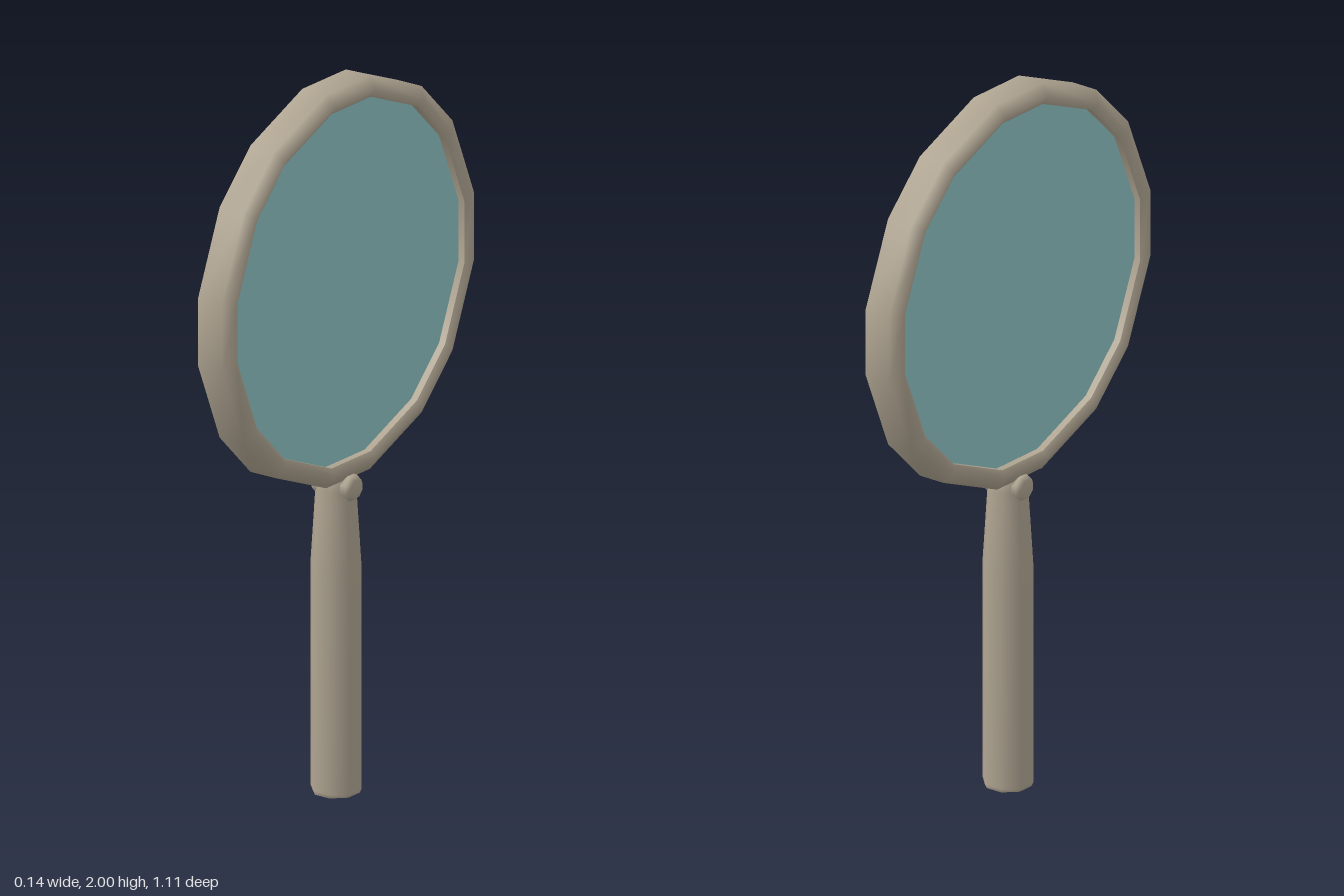
import * as THREE from 'three';

const V = (r, y) => new THREE.Vector2(r, y);
const OFFSET = -0.004;   // the lens and handle sit a hair off centre
const HUB = 1.446;       // height of the lens centre

// Gives the 16-sided lens outline its slightly uneven sides, then turns its axis to x
function shapeRound(geo) {
  const p = geo.attributes.position;
  for (let i = 0; i < p.count; i++) {
    const r = Math.hypot(p.getX(i), p.getZ(i));
    if (r < 1e-4) continue;
    const a = Math.atan2(p.getX(i), p.getZ(i));
    const b = a - THREE.MathUtils.degToRad(1.45) * Math.sin(8 * a);
    p.setX(i, r * Math.sin(b));
    p.setZ(i, r * Math.cos(b));
  }
  return geo.rotateZ(Math.PI / 2);
}

export function createModel() {
  const model = new THREE.Group();
  model.name = 'magnifyingGlass';

  const metal = new THREE.MeshStandardMaterial({ color: 0xb0a592 });
  metal.name = 'warmGreyMetal';
  const glass = new THREE.MeshStandardMaterial({ color: 0x8fc4c6 });
  glass.name = 'paleTealGlass';

  const add = (name, geo, mat, x, y, parent = model) => {
    const mesh = new THREE.Mesh(geo, mat);
    mesh.name = name;
    mesh.position.set(x, y, 0);
    parent.add(mesh);
    return mesh;
  };

  // Lens frame: bevelled outer shell and a straight inner wall
  const start = Math.PI / 16;
  const frame = new THREE.Group();
  frame.name = 'lensFrame';
  model.add(frame);
  const shell = [V(0.508, -0.05), V(0.528, -0.064), V(0.564, -0.04),
    V(0.564, 0.04), V(0.528, 0.064), V(0.508, 0.05)];
  const wall = [V(0.508, 0.05), V(0.508, -0.05)];
  add('frameShell', shapeRound(new THREE.LatheGeometry(shell, 16, start)), metal, OFFSET, HUB, frame);
  add('frameInnerWall', shapeRound(new THREE.LatheGeometry(wall, 16, start)), metal, OFFSET, HUB, frame);

  // Lens, recessed on both sides
  add('lens', shapeRound(new THREE.CylinderGeometry(0.508, 0.508, 0.06, 16, 1, false, start)), glass, OFFSET, HUB);

  // Handle: eight-sided grip with a tapered neck; radii are across the flats
  const k = 1 / Math.cos(Math.PI / 8);
  const handle = new THREE.Group();
  handle.name = 'handle';
  model.add(handle);
  const turned = pts => new THREE.LatheGeometry(pts.map(([r, y]) => V(r * k, y)), 8, Math.PI / 8);
  add('handleEnd', turned([[0, 0], [0.06, 0]]), metal, OFFSET, 0, handle);
  add('handleGrip', turned([[0.06, 0], [0.065, 0.012], [0.065, 0.64], [0.052, 0.86], [0.052, 0.885], [0.037, 0.915]]),
    metal, OFFSET, 0, handle);
  add('handleTop', turned([[0.037, 0.915], [0, 0.915]]), metal, OFFSET, 0, handle);

  // Rivets on both sides of the neck
  for (const side of [1, -1]) {
    const rivet = new THREE.LatheGeometry([V(0.037, 0.03), V(0.037, 0.056), V(0.026, 0.068), V(0, 0.068)], 8, Math.PI / 8);
    rivet.rotateZ(-side * Math.PI / 2);
    add(side > 0 ? 'leftRivet' : 'rightRivet', rivet, metal, -0.002, 0.868);
  }

  return model;
}
